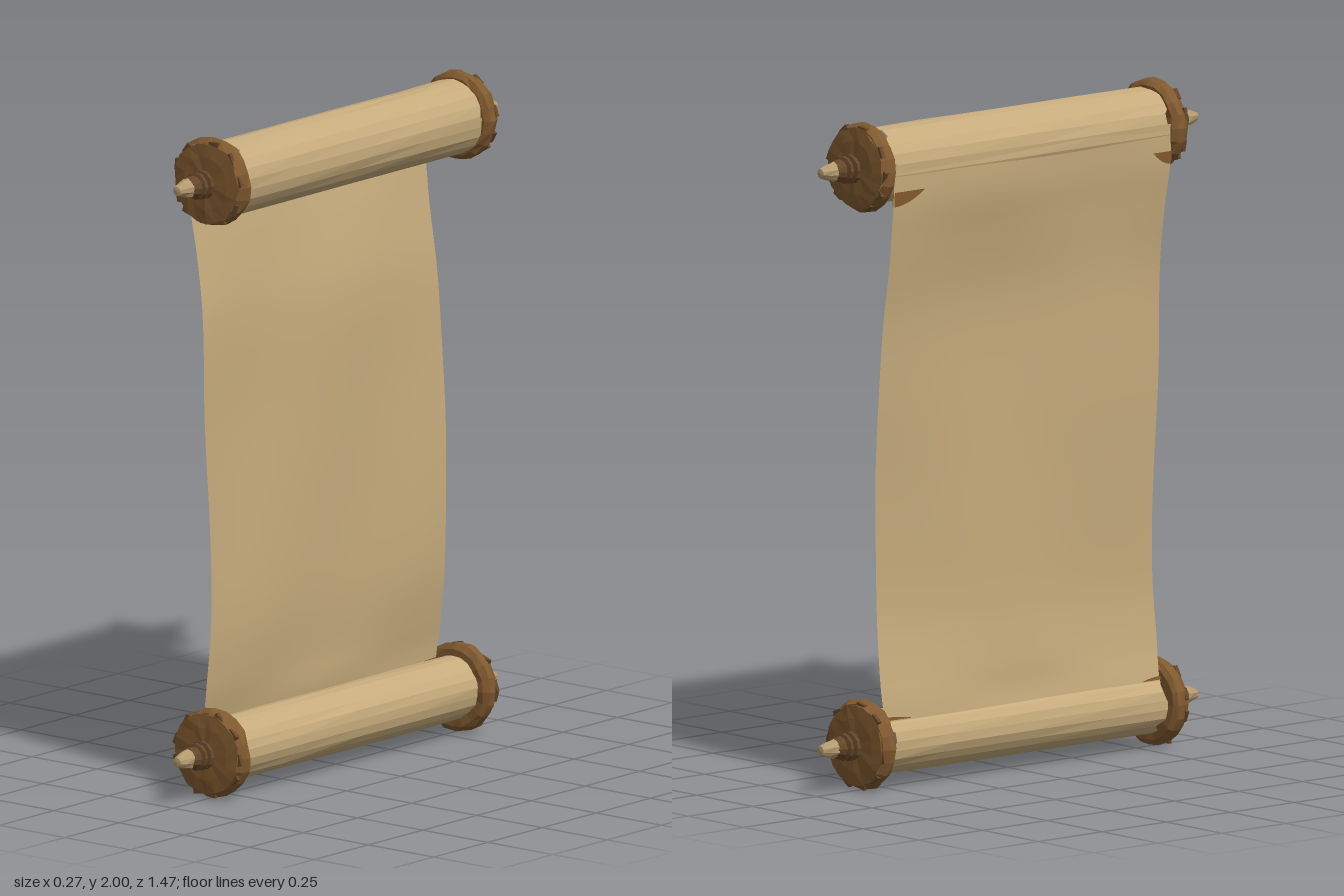
import * as THREE from 'three';

const mat = (name, color, extra = {}) => {
  const m = new THREE.MeshStandardMaterial({ color, ...extra });
  m.name = name;
  return m;
};

// Repeatable noise in -1..1
const noise = (a, b, seed) => {
  const s = Math.sin(a * 127.1 + b * 311.7 + seed * 74.7) * 43758.5453;
  return (s - Math.floor(s)) * 2 - 1;
};

// Turned shape along z from [radius, z] pairs, with uneven radius and depth
function turned(profile, sides, jitterR, jitterZ, seed) {
  const geo = new THREE.LatheGeometry(profile.map(([r, z]) => new THREE.Vector2(r, z)), sides);
  const p = geo.attributes.position;
  const n = profile.length;
  for (let i = 0; i < p.count; i++) {
    const side = Math.floor(i / n) % sides, ring = i % n;
    const r = Math.hypot(p.getX(i), p.getZ(i));
    if (r < 0.001) continue;
    const k = 1 + noise(side, ring, seed) * jitterR;
    p.setXYZ(i, p.getX(i) * k, p.getY(i) + noise(ring, side, seed + 5) * jitterZ, p.getZ(i) * k);
  }
  geo.rotateX(Math.PI / 2);
  geo.computeVertexNormals();
  return geo;
}

// Side outline of the hanging sheet: x by height
const outline = new THREE.CatmullRomCurve3([
  [-0.112, 1.88], [-0.106, 1.76], [-0.085, 1.63], [-0.055, 1.42], [-0.045, 1.1],
  [-0.036, 0.8], [-0.034, 0.5], [-0.05, 0.32], [-0.058, 0.25], [-0.066, 0.19],
].map(([x, y]) => new THREE.Vector3(x, y, 0)));

// Point on the sheet: u across the width, v down its length
function sheetPoint(u, v, target) {
  const p = outline.getPoint(v);
  const z = (u - 0.5) * 1.08;
  const loose = Math.sin(Math.PI * v);
  const wave = Math.sin(z * 5 + v * 7) * 0.008 + Math.sin(z * 9 - v * 11) * 0.004;
  const edge = Math.sin(v * 17 + (u > 0.5 ? 1 : 0)) * 0.006 * (2 * u - 1);
  return target.set(p.x + wave * loose, p.y, z + edge * loose);
}

function sheetGeometry(cols, rows) {
  const geo = new THREE.PlaneGeometry(1, 1, cols, rows);
  const p = geo.attributes.position, uv = geo.attributes.uv, t = new THREE.Vector3();
  for (let i = 0; i < p.count; i++) {
    sheetPoint(1 - uv.getX(i), 1 - uv.getY(i), t);
    p.setXYZ(i, t.x, t.y, t.z);
  }
  geo.computeVertexNormals();
  return geo;
}

export function createModel() {
  const model = new THREE.Group();
  const parchment = mat('parchment', 0xc6ab7c, { flatShading: true });
  const paper = mat('parchment sheet', 0xc6ab7c, { side: THREE.DoubleSide });
  const wood = mat('wood', 0x80592f, { flatShading: true });
  const darkWood = mat('dark wood', 0x65472a, { flatShading: true });
  const bone = mat('pale tip', 0xb59a70, { flatShading: true });
  const stain = mat('worn corner', 0x86592f, { side: THREE.DoubleSide });

  const add = (parent, name, geo, material) => {
    const mesh = new THREE.Mesh(geo, material);
    mesh.name = name;
    parent.add(mesh);
    return mesh;
  };

  // Cap and spindle facing +z
  function rodEnd(seed) {
    const end = new THREE.Group();
    end.name = 'rodEnd';
    add(end, 'capDisc', turned([[0.123, 0.597], [0.08, 0.602], [0, 0.602]], 20, 0.03, 0.002, seed), wood);
    add(end, 'capRim', turned([[0, 0.54], [0.118, 0.541], [0.133, 0.553], [0.134, 0.575], [0.121, 0.598]],
      20, 0.025, 0.004, seed + 1), [wood, darkWood][0]);
    // Chips cut along the rim
    for (let i = 0; i < 9; i++) {
      const a = i / 9 * Math.PI * 2 + noise(i, 1, seed) * 0.25;
      const chip = add(end, 'rimChip', new THREE.BoxGeometry(0.02, 0.035, 0.012), darkWood);
      chip.position.set(Math.cos(a) * 0.119, Math.sin(a) * 0.119, 0.59);
      chip.rotation.z = a + noise(i, 2, seed) * 0.5;
    }
    add(end, 'spindleRings', turned([[0.028, 0.595], [0.028, 0.61], [0.044, 0.613], [0.044, 0.625], [0.026, 0.629],
      [0.026, 0.634], [0.041, 0.637], [0.041, 0.648], [0.027, 0.652], [0.034, 0.656], [0.034, 0.664], [0.03, 0.674],
      [0.028, 0.684], [0, 0.684]], 12, 0.03, 0, seed + 2), darkWood);
    add(end, 'spindleTip', turned([[0.029, 0.682], [0.022, 0.71], [0.014, 0.733], [0, 0.735]],
      10, 0.08, 0, seed + 3), bone);
    return end;
  }

  // Two rollers, each with a rolled length of parchment and two ends
  [['topRoller', 1.865, 0.113, 1], ['bottomRoller', 0.135, 0.096, 30]].forEach(([name, y, r, seed]) => {
    const roller = new THREE.Group();
    roller.name = name;
    roller.position.y = y;
    add(roller, 'rolledParchment', turned([-0.545, -0.3, 0, 0.3, 0.545].map((z) => [r, z]),
      22, 0.018, 0.03, seed), parchment);
    roller.add(rodEnd(seed + 7));
    const back = rodEnd(seed + 13);
    back.rotation.y = Math.PI;
    roller.add(back);
    model.add(roller);
  });

  // Hanging sheet
  add(model, 'sheet', sheetGeometry(24, 48), paper);

  // Worn triangular corners laid on both faces of the sheet: u, v, width, height
  [[1, 0.075, -0.065, 0.035], [0, 0.075, 0.11, 0.04], [1, 0.965, -0.07, -0.02], [0, 0.965, 0.1, -0.02]]
    .forEach(([u, v, w, h]) => {
      [-0.004, 0.004].forEach((offset) => {
        const n = 6, pos = [];
        const at = (s, k) => {
          const t = sheetPoint(u + w * s, v + h * k * (1 - s * s), new THREE.Vector3());
          pos.push(t.x + offset, t.y, t.z);
        };
        for (let i = 0; i < n; i++) {
          const a = i / n, b = (i + 1) / n;
          [[a, 0], [b, 0], [a, 1], [b, 0], [b, 1], [a, 1]].forEach(([s, k]) => at(s, k));
        }
        const geo = new THREE.BufferGeometry();
        geo.setAttribute('position', new THREE.Float32BufferAttribute(pos, 3));
        geo.computeVertexNormals();
        add(model, 'wornCorner', geo, stain);
      });
    });

  return model;
}
